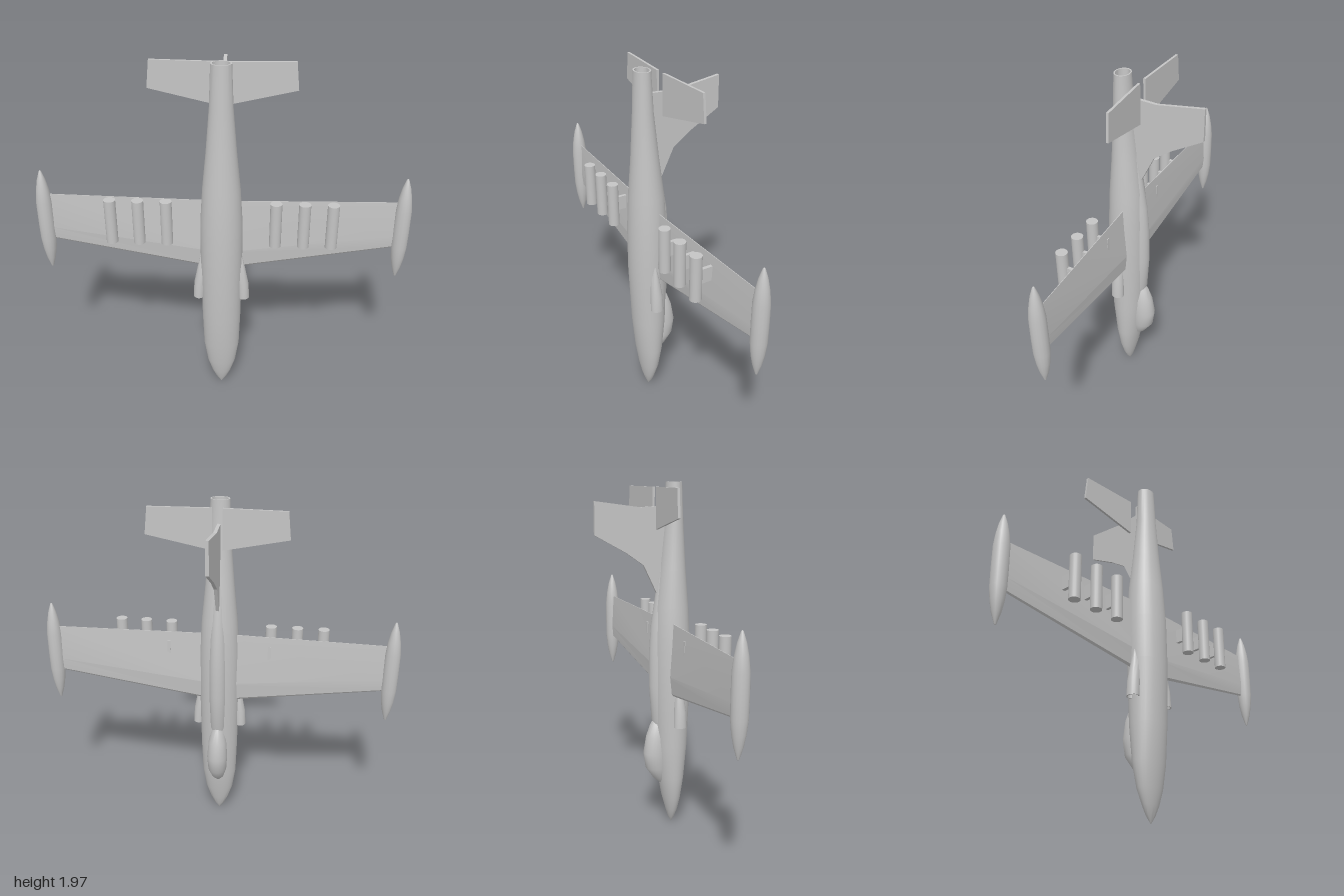
import * as THREE from 'three';
import { toCreasedNormals } from 'three/addons/utils/BufferGeometryUtils.js';

const grey = new THREE.MeshStandardMaterial({ color: 0xc4c4c4 });
grey.name = 'airframe grey';

// Skin over a list of closed rings of [x, y, z] points
function skin(rings, crease = 0.6) {
  const n = rings[0].length, index = [];
  for (let r = 0; r < rings.length - 1; r++) {
    for (let i = 0; i < n; i++) {
      const a = r * n + i, b = r * n + (i + 1) % n;
      index.push(a, a + n, b, b, a + n, b + n);
    }
  }
  const geo = new THREE.BufferGeometry();
  geo.setAttribute('position', new THREE.Float32BufferAttribute(rings.flat(2), 3));
  geo.setIndex(index);
  return toCreasedNormals(geo, crease);
}

// Elliptical ring across the body axis: half width, front z, back z, centre x
function ring([y, rx, zf, zb, cx = 0], n = 28) {
  return Array.from({ length: n }, (_, i) => {
    const a = (i / n) * Math.PI * 2;
    return [cx + rx * Math.cos(a), y, (zf + zb) / 2 + ((zf - zb) / 2) * Math.sin(a)];
  });
}
const body = (rows, n) => skin(rows.map((row) => ring(row, n)));

// Flat plate centred on its own plane
function plate(points, thickness) {
  const shape = new THREE.Shape(points.map(([x, y]) => new THREE.Vector2(x, y)));
  const geo = new THREE.ExtrudeGeometry(shape, { depth: thickness, bevelEnabled: false });
  return geo.translate(0, 0, -thickness / 2);
}

export function createModel() {
  const model = new THREE.Group();
  model.name = 'jetAircraft';
  const add = (name, geo, x = 0, y = 0, z = 0) => {
    const mesh = new THREE.Mesh(geo, grey);
    mesh.name = name;
    mesh.position.set(x, y, z);
    model.add(mesh);
    return mesh;
  };

  // Fuselage, nose down, with a recessed tail nozzle
  add('fuselage', body([
    [0, 0.001, 0.176, 0.174], [0.04, 0.03, 0.192, 0.155], [0.09, 0.053, 0.207, 0.141],
    [0.17, 0.08, 0.222, 0.12], [0.3, 0.1, 0.24, 0.097], [0.5, 0.107, 0.258, 0.075],
    [0.85, 0.113, 0.27, 0.062], [1.1, 0.112, 0.268, 0.06], [1.3, 0.1, 0.257, 0.07],
    [1.5, 0.08, 0.24, 0.095], [1.75, 0.06, 0.225, 0.12], [1.965, 0.052, 0.215, 0.13],
    [1.965, 0.044, 0.208, 0.137], [1.925, 0.042, 0.207, 0.138], [1.925, 0, 0.172, 0.172],
  ]));

  // Raised spine between canopy and fin
  add('spine', body([
    [0.55, 0.03, 0.15, 0.085], [0.65, 0.045, 0.15, 0.052], [0.85, 0.05, 0.15, 0.037],
    [1.05, 0.05, 0.15, 0.037], [1.2, 0.045, 0.15, 0.047], [1.37, 0.036, 0.15, 0.072],
    [1.5, 0.028, 0.15, 0.092], [1.65, 0.015, 0.15, 0.115],
  ], 20));

  // Teardrop canopy
  add('canopy', body([
    [0.25, 0.004, 0.13, 0.112], [0.29, 0.034, 0.14, 0.066], [0.36, 0.054, 0.14, 0.017],
    [0.45, 0.06, 0.14, 0.004], [0.55, 0.052, 0.14, 0.02], [0.62, 0.035, 0.14, 0.044],
    [0.67, 0.012, 0.14, 0.072],
  ], 24));

  // One wing skin from tip to tip, thickest at a quarter of the chord
  const airfoil = [[0, 0], [0.03, 0.5], [0.27, 1], [1, 0.12], [1, -0.12], [0.27, -1], [0.03, -0.5]];
  const wingRing = (x) => {
    const t = Math.abs(x) / 0.93;
    const lead = 0.792 + 0.151 * t, chord = 1.215 - lead;
    const z = 0.144 - 0.03 * t, half = 0.02 - 0.008 * t;
    return airfoil.map(([c, h]) => [x, lead + c * chord, z + h * half]);
  };
  add('wing', skin([-0.93, 0, 0.93].map(wingRing), 0.15));

  // Tail fin, swept up from the spine
  const fin = plate([
    [-0.15, 1.845], [0.015, 1.835], [0.27, 1.87], [0.27, 1.695], [0.1, 1.6],
    [0, 1.53], [-0.078, 1.37], [-0.15, 1.37],
  ], 0.018);
  add('tailFin', fin.rotateY(Math.PI / 2));

  const tankProfile = [
    [0, 0.755], [0.006, 0.76], [0.024, 0.82], [0.035, 0.88], [0.042, 0.95], [0.043, 1.05],
    [0.042, 1.17], [0.034, 1.24], [0.022, 1.3], [0.006, 1.35], [0, 1.355],
  ].map(([r, y]) => new THREE.Vector2(r, y));

  for (const s of [-1, 1]) {
    const side = s > 0 ? 'left' : 'right';

    // Wingtip tank
    add(side + 'TipTank', new THREE.LatheGeometry(tankProfile, 16), s * 0.955, 0, 0.116);

    // Tailplane with a slight upward slope toward the tip
    const tail = plate([
      [s * 0.028, 1.94], [s * 0.363, 1.94], [s * 0.378, 1.795], [s * 0.028, 1.72],
    ], 0.013);
    const p = tail.attributes.position;
    for (let i = 0; i < p.count; i++) p.setZ(i, p.getZ(i) + 0.07 - 0.048 * Math.abs(p.getX(i)));
    tail.computeVertexNormals();
    add(side + 'Tailplane', tail);

    // Air intake with a recessed mouth, fading into the fuselage
    add(side + 'Intake', body([
      [0.66, 0, 0.176, 0.176, s * 0.124], [0.66, 0.024, 0.205, 0.147, s * 0.124],
      [0.63, 0.025, 0.207, 0.145, s * 0.124], [0.63, 0.031, 0.212, 0.14, s * 0.124],
      [0.72, 0.032, 0.21, 0.142, s * 0.118], [0.82, 0.027, 0.2, 0.152, s * 0.103],
      [0.9, 0.012, 0.184, 0.168, s * 0.1],
    ], 20));

    // Underwing pods on pylons
    for (const x of [0.285, 0.432, 0.578]) {
      add(side + 'Pod', new THREE.CylinderGeometry(0.031, 0.031, 0.25, 20), s * x, 1.12, 0.219);
      add(side + 'Pylon', new THREE.BoxGeometry(0.018, 0.08, 0.075), s * x, 1.12, 0.163);
    }
  }
  return model;
}
